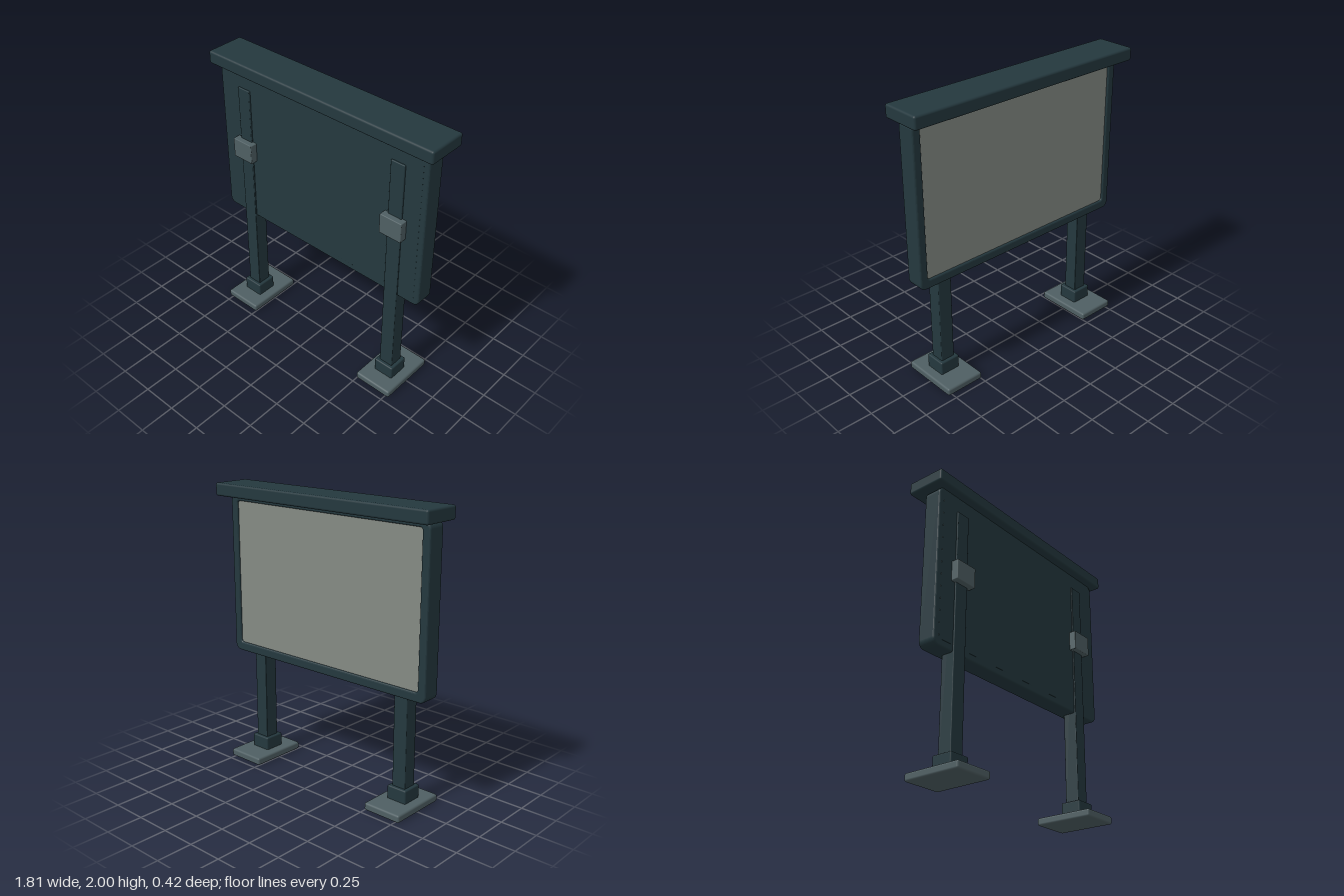
import * as THREE from 'three';
import { RoundedBoxGeometry } from 'three/addons/geometries/RoundedBoxGeometry.js';

const paint = new THREE.MeshStandardMaterial({ color: 0x24383e });
const steel = new THREE.MeshStandardMaterial({ color: 0x4f5f63 });
const panelGrey = new THREE.MeshStandardMaterial({ color: 0x858a84 });

// Softened box given by its [min, max] range on each axis
function block(name, [x0, x1], [y0, y1], [z0, z1], radius, material) {
  const geometry = new RoundedBoxGeometry(x1 - x0, y1 - y0, z1 - z0, 3, radius);
  const mesh = new THREE.Mesh(geometry, material);
  mesh.position.set((x0 + x1) / 2, (y0 + y1) / 2, (z0 + z1) / 2);
  mesh.name = name;
  return mesh;
}

// Rounded rectangle centred on x = 0
function roundedRect(path, w, y0, y1, r) {
  path.moveTo(-w + r, y0);
  path.lineTo(w - r, y0);
  path.absarc(w - r, y0 + r, r, -Math.PI / 2, 0);
  path.lineTo(w, y1 - r);
  path.absarc(w - r, y1 - r, r, 0, Math.PI / 2);
  path.lineTo(-w + r, y1);
  path.absarc(-w + r, y1 - r, r, Math.PI / 2, Math.PI);
  path.lineTo(-w, y0 + r);
  path.absarc(-w + r, y0 + r, r, Math.PI, Math.PI * 1.5);
  return path;
}

// Deep frame with bevelled rims around the display opening
function makeFrame() {
  const bevel = 0.012, back = -0.073, front = 0.058;
  const shape = roundedRect(new THREE.Shape(), 0.855, 0.785, 1.913, 0.045);
  shape.holes.push(roundedRect(new THREE.Path(), 0.795, 0.85, 1.875, 0.02));
  const geometry = new THREE.ExtrudeGeometry(shape, {
    depth: front - back - 2 * bevel,
    bevelEnabled: true, bevelThickness: bevel, bevelSize: bevel,
    bevelOffset: -bevel, bevelSegments: 3, curveSegments: 6,
  });
  geometry.translate(0, 0, back + bevel);
  const mesh = new THREE.Mesh(geometry, paint);
  mesh.name = 'displayFrame';
  return mesh;
}

// Post with sleeve, ground plate and clamp
function makeSupport(side) {
  const support = new THREE.Group();
  support.name = side > 0 ? 'leftSupport' : 'rightSupport';
  support.add(
    block('post', [-0.052, 0.052], [0.04, 1.795], [-0.032, 0.07], 0.006, paint),
    block('postSleeve', [-0.075, 0.075], [0.04, 0.145], [-0.055, 0.095], 0.01, paint),
    block('groundPlate', [-0.142, 0.142], [0, 0.053], [-0.21, 0.21], 0.014, steel),
    block('clamp', [-0.084, 0.084], [1.265, 1.408], [0.045, 0.11], 0.006, steel),
  );
  support.position.x = side * 0.638;
  return support;
}

export function createModel() {
  const model = new THREE.Group();
  model.name = 'noticeBoard';

  model.add(makeFrame());
  // Closed front cover and recessed display surface
  model.add(block('frontCover', [-0.815, 0.815], [0.83, 1.893], [0, 0.0585], 0.0005, paint));
  model.add(block('displaySurface', [-0.8, 0.8], [0.845, 1.88], [-0.06, 0.01], 0.0005, panelGrey));

  // Canopy
  model.add(block('canopy', [-0.905, 0.905], [1.91, 2], [-0.172, 0.11], 0.015, paint));

  for (const side of [-1, 1]) model.add(makeSupport(side));
  return model;
}
